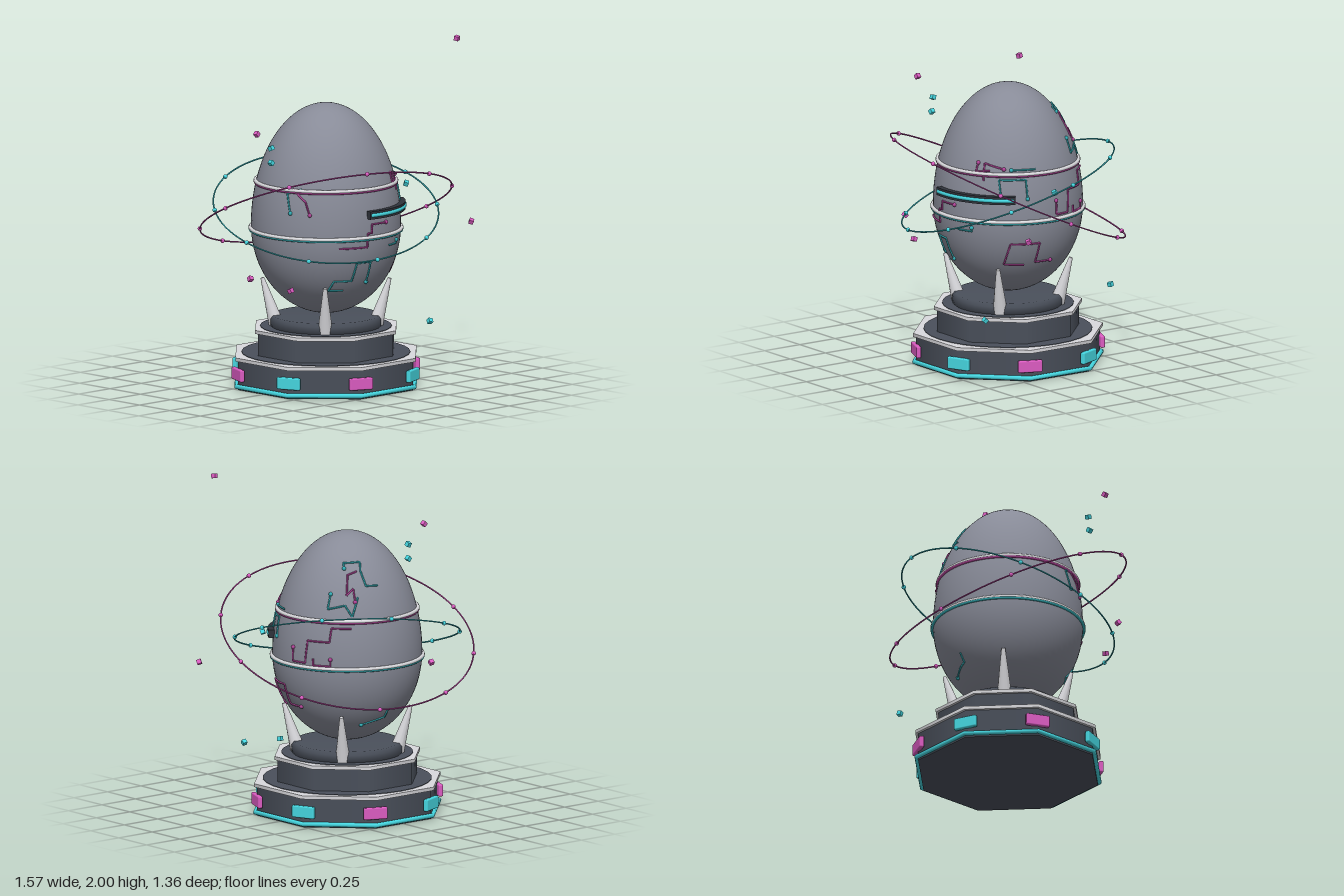
import * as THREE from 'three';
import { RoundedBoxGeometry } from 'three/addons/geometries/RoundedBoxGeometry.js';

const mat = (name, color) => {
  const m = new THREE.MeshStandardMaterial({ color });
  m.name = name;
  return m;
};

// Egg radius at a height: two half ellipses sharing one equator
const EGG = { y: 0.93, r: 0.431, up: 0.71, down: 0.51 };
const eggRadius = (y) => {
  const t = (y - EGG.y) / (y > EGG.y ? EGG.up : EGG.down);
  return EGG.r * Math.sqrt(Math.max(0, 1 - t * t));
};

export function createModel() {
  const root = new THREE.Group();
  const shell = mat('shellGrey', 0x888b98);
  const dark = mat('baseSlate', 0x4a505b);
  const black = mat('visorBlack', 0x2f333b);
  const light = mat('trimSilver', 0xdadade);
  const cyan = mat('brightCyan', 0x46d8e2);
  const magenta = mat('brightMagenta', 0xdc5cc2);
  const dimCyan = mat('circuitCyan', 0x34aeb6);
  const dimMagenta = mat('circuitMagenta', 0xb04598);

  const add = (name, geo, material, parent = root) => {
    const m = new THREE.Mesh(geo, material);
    m.name = name;
    parent.add(m);
    return m;
  };
  const group = (name) => {
    const g = new THREE.Group();
    g.name = name;
    root.add(g);
    return g;
  };

  // Slab between two heights: an octagon with flats to the front, or a disc
  const slab = (name, r, y0, y1, material, sides = 8) =>
    add(name, new THREE.CylinderGeometry(r, r, y1 - y0, sides).rotateY(Math.PI / 8).translate(0, (y0 + y1) / 2, 0), material);

  // Stepped base with silver rims and dark inlays
  slab('lowerTier', 0.543, 0, 0.17, dark);
  slab('lowerRim', 0.56, 0.168, 0.188, light);
  slab('lowerInlay', 0.485, 0.17, 0.191, dark, 32);
  slab('upperTier', 0.42, 0.18, 0.322, dark);
  slab('upperRim', 0.437, 0.32, 0.34, light);
  slab('upperInlay', 0.378, 0.32, 0.343, dark, 32);
  add('glowRim', new THREE.TorusGeometry(0.552, 0.014, 8, 8).rotateX(Math.PI / 2).rotateY(Math.PI / 8).translate(0, 0.02, 0), cyan);
  const pedestal = [[0, 0.33], [0.32, 0.33], [0.32, 0.385], [0.305, 0.405], [0, 0.405]];
  add('pedestal', new THREE.LatheGeometry(pedestal.map(([x, y]) => new THREE.Vector2(x, y)), 40), dark);

  // Alternating light panels on the base corners
  const panels = group('basePanels');
  for (let i = 0; i < 8; i++) {
    const p = add('basePanel', new RoundedBoxGeometry(0.142, 0.07, 0.028, 2, 0.008).translate(0, 0.09, 0.543), i % 2 ? magenta : cyan, panels);
    p.rotation.y = Math.PI / 8 + (i * Math.PI) / 4;
  }

  // Four claws holding the egg on the diagonals
  const claws = group('claws');
  for (let i = 0; i < 4; i++) {
    const c = new THREE.Group();
    const cone = add('claw', new THREE.CylinderGeometry(0.011, 0.045, 0.29, 12), light, c);
    cone.position.set(0, 0.48, 0.324);
    cone.rotation.x = 0.29;
    c.rotation.y = Math.PI / 4 + (i * Math.PI) / 2;
    claws.add(c);
  }

  // Egg shell
  const profile = [];
  for (let i = 0; i <= 48; i++) {
    const a = -Math.PI / 2 + (i / 48) * Math.PI;
    const h = Math.sin(a) * (a > 0 ? EGG.up : EGG.down);
    profile.push(new THREE.Vector2(Math.max(0, EGG.r * Math.cos(a)), EGG.y + h));
  }
  add('eggShell', new THREE.LatheGeometry(profile, 64), shell);

  // Silver bands with a coloured line underneath
  for (const [y, glow] of [[1.19, dimMagenta], [0.915, dimCyan]]) {
    const r = eggRadius(y);
    const ring = (R, tube, h) => new THREE.TorusGeometry(R, tube, 10, 80).rotateX(Math.PI / 2).translate(0, h, 0);
    add('eggBand', ring(r + 0.004, 0.011, y), light);
    add('eggBandGlow', ring(r + 0.006, 0.008, y - 0.009), glow);
  }

  // Curved visor bar with a glowing strip
  const arc = (R, a0, a1) => {
    const pts = [];
    for (let i = 0; i <= 20; i++) {
      const a = a0 + ((a1 - a0) * i) / 20;
      pts.push(new THREE.Vector3(R * Math.sin(a), 1.047, R * Math.cos(a)));
    }
    return new THREE.CatmullRomCurve3(pts);
  };
  const s = 0.023;
  const section = new THREE.Shape([[-s, -s], [s, -s], [s, s], [-s, s]].map(([x, y]) => new THREE.Vector2(x, y)));
  add('visor', new THREE.ExtrudeGeometry(section, { steps: 32, bevelEnabled: false, extrudePath: arc(0.434, -0.18, 1.04) }), black);
  const strip = arc(0.452, -0.14, 1.0);
  add('visorGlow', new THREE.TubeGeometry(strip, 40, 0.012, 10), cyan);
  for (const t of [0, 1]) add('visorGlowEnd', new THREE.SphereGeometry(0.012, 12, 8).translate(...strip.getPoint(t).toArray()), cyan);

  // Circuit traces laid on the egg, drawn from the front (x, y), side (z, y) or top (x, z)
  const circuits = group('circuits');
  const toPolar = {
    front: ([x, y]) => [Math.asin(THREE.MathUtils.clamp(x / eggRadius(y), -1, 1)), y],
    side: ([z, y]) => [Math.acos(THREE.MathUtils.clamp(z / eggRadius(y), -1, 1)), y],
    top: ([x, z]) => [Math.atan2(x, z), EGG.y + EGG.up * Math.sqrt(1 - (x * x + z * z) / EGG.r ** 2)],
  };
  const trace = (view, material, points) => {
    const polar = points.map(toPolar[view]);
    const path = [];
    polar.forEach(([a, y], i) => {
      const [b, z] = polar[Math.min(i + 1, polar.length - 1)];
      const n = i < polar.length - 1 ? 8 : 1;
      for (let k = 0; k < n; k++) {
        const t = k / n, ang = a + (b - a) * t, h = y + (z - y) * t, r = eggRadius(h) + 0.003;
        path.push(new THREE.Vector3(r * Math.sin(ang), h, r * Math.cos(ang)));
      }
    });
    add('circuitTrace', new THREE.TubeGeometry(new THREE.CatmullRomCurve3(path), path.length * 3, 0.0055, 5), material, circuits);
    add('circuitNode', new THREE.SphereGeometry(0.012, 10, 8).translate(...path[path.length - 1].toArray()), material, circuits);
  };
  trace('front', dimCyan, [[-0.15, 0.6], [-0.22, 0.6], [-0.22, 0.66], [-0.13, 0.66], [-0.13, 0.77], [-0.04, 0.77], [-0.03, 0.645]]);
  trace('front', dimMagenta, [[-0.24, 0.86], [-0.08, 0.86], [-0.08, 0.94], [-0.05, 0.94], [-0.05, 0.99], [0.065, 0.99]]);
  trace('front', dimMagenta, [[0.25, 1.21], [0.18, 1.2], [0.18, 1.25]]);
  trace('front', dimCyan, [[0.385, 1.215], [0.33, 1.215]]);
  trace('front', dimCyan, [[0.09, 0.85], [0.18, 0.85], [0.18, 0.87]]);
  trace('front', dimCyan, [[-0.36, 1.2], [-0.395, 1.17], [-0.405, 1.06]]);
  trace('front', dimMagenta, [[-0.38, 1.2], [-0.36, 1.13], [-0.355, 1.055]]);
  trace('side', dimMagenta, [[0.13, 0.645], [0.23, 0.65], [0.23, 0.78], [0.07, 0.78], [0.07, 0.66], [-0.03, 0.66]]);
  trace('side', dimCyan, [[0.28, 1.06], [0.28, 1.16], [0.15, 1.16], [0.15, 1.05]]);
  trace('side', dimMagenta, [[0.34, 1.15], [0.32, 1.25], [0.25, 1.22]]);
  trace('side', dimMagenta, [[-0.33, 1.15], [-0.25, 1.15], [-0.25, 1.07], [-0.13, 1.07], [-0.12, 0.94], [-0.03, 0.94], [-0.03, 1.02]]);
  trace('side', dimMagenta, [[-0.17, 0.97], [-0.17, 0.93], [-0.26, 0.93], [-0.26, 0.97]]);
  trace('side', dimCyan, [[-0.37, 0.65], [-0.34, 0.6], [-0.27, 0.56]]);
  trace('top', dimCyan, [[0.05, -0.33], [0.12, -0.31], [0.12, -0.26], [0.1, -0.23], [0.18, -0.18], [0.19, -0.2]]);
  trace('top', dimCyan, [[0.18, -0.31], [0.23, -0.32], [0.25, -0.28], [0.32, -0.21], [0.29, -0.2]]);
  trace('top', dimMagenta, [[0.14, -0.25], [0.19, -0.23], [0.23, -0.27], [0.19, -0.28], [0.2, -0.31]]);

  // Tilted orbit rings with ten beads each; the plane is y = 1.03 + a x + b z
  const orbit = (R, a, b, start, material, beadMaterial) => {
    const g = group('orbit');
    const u = new THREE.Vector3(1, a, 0).normalize();
    const v = u.clone().cross(new THREE.Vector3(-a, 1, -b).normalize());
    const at = (t) => new THREE.Vector3(0, 1.03, 0).addScaledVector(u, R * Math.cos(t)).addScaledVector(v, R * Math.sin(t));
    const pts = Array.from({ length: 48 }, (_, i) => at((i / 48) * Math.PI * 2));
    add('orbitRing', new THREE.TubeGeometry(new THREE.CatmullRomCurve3(pts, true), 120, 0.0045, 6, true), material, g);
    for (let i = 0; i < 10; i++)
      add('orbitBead', new THREE.SphereGeometry(0.013, 10, 8).translate(...at(start + (i * Math.PI) / 5).toArray()), beadMaterial, g);
  };
  orbit(0.648, 0.2, -0.3, 0, dimCyan, cyan);
  orbit(0.735, -0.15, 0.43, 0.12, dimMagenta, magenta);

  // Loose cubes drifting around the egg
  const cubes = group('floatingCubes');
  const drift = (material, list) => list.forEach(([x, y, z], i) => {
    const c = add('floatingCube', new THREE.BoxGeometry(0.026, 0.026, 0.026), material, cubes);
    c.position.set(x, y, z);
    c.rotation.set(0.2 + i * 0.3, 0.3 + i * 0.5, 0.1);
  });
  drift(magenta, [[0.66, 1.985, 0.4], [0.765, 0.905, 0.41], [-0.77, 0.73, 0.17], [-0.545, 0.645, 0.27], [-0.69, 1.56, 0.14]]);
  drift(cyan, [[0.69, 0.55, -0.225], [0.565, 1.11, 0.08], [0.395, 0.375, 0.45], [-0.56, 1.46, 0.125], [-0.565, 1.375, 0.13]]);

  return root;
}
